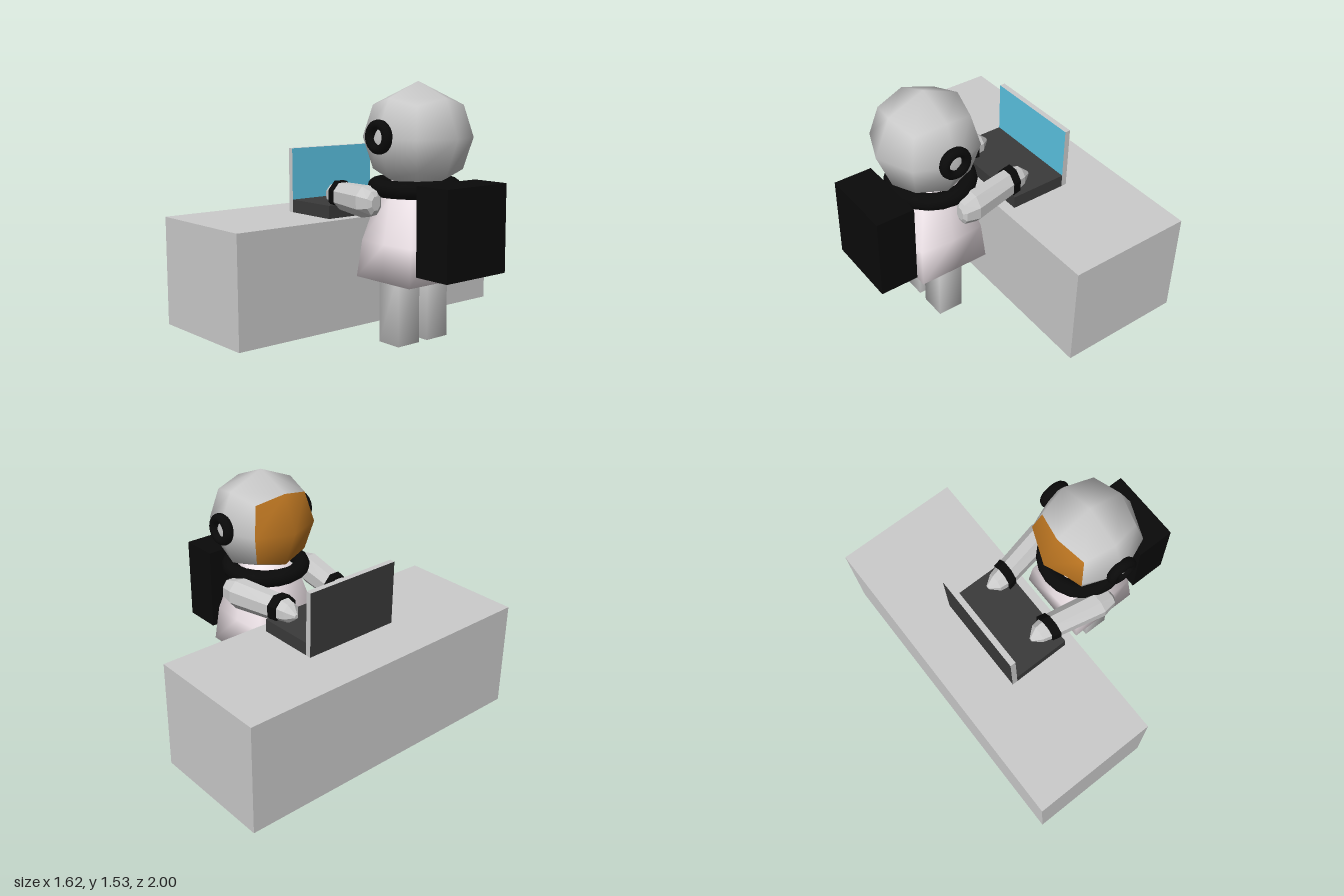
import * as THREE from 'three';
import { mergeVertices } from 'three/addons/utils/BufferGeometryUtils.js';

const mat = (color, extra = {}) => new THREE.MeshStandardMaterial({ color, ...extra });
const grey = mat(0xcccccc), greyFlat = mat(0xcccccc, { flatShading: true });
const black = mat(0x0a0a0a), blackFlat = mat(0x0a0a0a, { flatShading: true });
const dark = mat(0x3a3a3a), cyan = mat(0x5cc6e6), amber = mat(0xc07822), white = mat(0xf4e9ee);

const CX = 0.335, CZ = -0.027; // figure's vertical axis

export function createModel() {
  const model = new THREE.Group();

  const add = (name, geometry, material, parent = model) => {
    const mesh = new THREE.Mesh(geometry, material);
    mesh.name = name;
    parent.add(mesh);
    return mesh;
  };

  // Box given by its minimum and maximum corners
  const box = (name, a, b, material) => {
    const mesh = add(name, new THREE.BoxGeometry(b[0] - a[0], b[1] - a[1], b[2] - a[2]), material);
    mesh.position.set((a[0] + b[0]) / 2, (a[1] + b[1]) / 2, (a[2] + b[2]) / 2);
    return mesh;
  };

  // Share corner vertices so normals blend across edges
  const smooth = (geometry) => {
    geometry.deleteAttribute('normal');
    geometry.deleteAttribute('uv');
    const merged = mergeVertices(geometry);
    merged.computeVertexNormals();
    return merged;
  };

  // Closed tube along x through rings [x, centreZ, radiusY, radiusZ]
  const loft = (rings, y, sides = 8) => {
    const pos = [], idx = [];
    for (const [x, z, ry, rz] of rings) {
      for (let i = 0; i < sides; i++) {
        const t = ((i + 0.5) / sides) * Math.PI * 2;
        pos.push(x, y + (Math.sin(t) * ry) / Math.cos(Math.PI / sides), z + (Math.cos(t) * rz) / Math.cos(Math.PI / sides));
      }
    }
    for (let r = 0; r < rings.length - 1; r++) {
      for (let i = 0; i < sides; i++) {
        const a = r * sides + i, b = r * sides + ((i + 1) % sides), c = a + sides, d = b + sides;
        idx.push(a, c, b, b, c, d);
      }
    }
    const last = (rings.length - 1) * sides;
    for (let i = 1; i < sides - 1; i++) idx.push(0, i, i + 1, last, last + i + 1, last + i);
    // Reverse winding so faces point outwards
    for (let i = 0; i < idx.length; i += 3) [idx[i + 1], idx[i + 2]] = [idx[i + 2], idx[i + 1]];
    const g = new THREE.BufferGeometry();
    g.setAttribute('position', new THREE.Float32BufferAttribute(pos, 3));
    g.setIndex(idx);
    // Signed volume decides whether the winding has to be flipped
    let volume = 0;
    const p = [0, 1, 2].map(() => new THREE.Vector3());
    for (let i = 0; i < idx.length; i += 3) {
      p.forEach((v, k) => v.fromArray(pos, idx[i + k] * 3));
      volume += p[0].dot(p[1].clone().cross(p[2]));
    }
    if (volume < 0) g.setIndex(idx.reverse());
    g.computeVertexNormals();
    return g;
  };

  // Desk and open laptop
  box('desk', [-0.81, 0.04, -1], [-0.015, 0.713, 1], grey);
  box('laptopBase', [-0.45, 0.713, -0.335], [-0.085, 0.793, 0.305], dark);
  box('laptopScreen', [-0.485, 0.713, -0.335], [-0.45, 1.115, 0.305],
    [cyan, dark, grey, grey, grey, grey]);

  // Head: cube rounded to a sphere, its -x face is the visor
  const R = 0.322;
  const ball = new THREE.BoxGeometry(1, 1, 1, 2, 2, 2);
  const bp = ball.attributes.position, v = new THREE.Vector3();
  for (let i = 0; i < bp.count; i++) {
    v.fromBufferAttribute(bp, i).normalize();
    ball.attributes.normal.setXYZ(i, v.x, v.y, v.z);
    bp.setXYZ(i, v.x * R, v.y * R, v.z * R);
  }
  const faces = Array.from(ball.index.array), per = faces.length / 6;
  const headGeo = ball.clone().setIndex([...faces.slice(0, per), ...faces.slice(2 * per)]);
  const visorGeo = ball.clone().setIndex(faces.slice(per, 2 * per));
  visorGeo.computeVertexNormals();
  const head = new THREE.Group();
  head.name = 'headGroup';
  head.position.set(CX, 1.213, CZ);
  model.add(head);
  add('head', headGeo, grey, head);
  add('visor', visorGeo, amber, head);

  // Ear rings
  for (const s of [1, -1]) {
    const ear = add('earRing', new THREE.TorusGeometry(0.071, 0.028, 12, 32), black, head);
    ear.scale.z = 1.18;
    ear.position.set(0, 0.012, s * 0.304);
  }

  // Collar
  const collar = add('collar', new THREE.TorusGeometry(0.225, 0.052, 10, 20), black);
  collar.rotation.x = Math.PI / 2;
  collar.position.set(0.305, 0.922, CZ);

  // Torso: rings [y, halfX, halfZ, corner factor] on a subdivided box
  const rings = [[0.38, 0.228, 0.25, 1], [0.6, 0.228, 0.238, 0.93], [0.87, 0.183, 0.19, 0.8], [0.97, 0.1, 0.12, 0.8]];
  const torso = new THREE.BoxGeometry(2, 3, 2, 2, 3, 2);
  const tp = torso.attributes.position;
  for (let i = 0; i < tp.count; i++) {
    const [y, hx, hz, c] = rings[Math.round(tp.getY(i) + 1.5)];
    const x = tp.getX(i), z = tp.getZ(i), k = Math.abs(x * z) > 0.5 ? c : 1;
    tp.setXYZ(i, x * hx * k, y, z * hz * k);
  }
  add('torso', smooth(torso), white).position.set(0.308, 0, CZ + 0.003);

  // Backpack
  box('backpack', [0.57, 0.45, -0.265], [0.81, 0.966, 0.205], black);

  // Legs and arms, mirrored about the figure's axis
  const legGeo = smooth(new THREE.BoxGeometry(0.165, 0.46, 0.165));
  const armRings = [[-0.252, 0.212, 0.012, 0.012], [-0.195, 0.208, 0.06, 0.055], [-0.12, 0.214, 0.078, 0.07],
    [-0.09, 0.22, 0.08, 0.073], [0.2, 0.28, 0.091, 0.08], [0.285, 0.295, 0.068, 0.052], [0.302, 0.295, 0.04, 0.03]];
  const bandRings = [[-0.143, 0.208, 0.088, 0.08], [-0.09, 0.22, 0.088, 0.08]];
  for (const s of [1, -1]) {
    add(s > 0 ? 'leftLeg' : 'rightLeg', legGeo, grey).position.set(0.308, 0.23, CZ + 0.03 + s * 0.115 - 0.028);
    const place = (list) => loft(list.map(([x, z, ry, rz]) => [x, CZ + s * z, ry, rz]), 0.844);
    add('arm', place(armRings), greyFlat);
    add('wristBand', place(bandRings), blackFlat);
  }
  return model;
}
